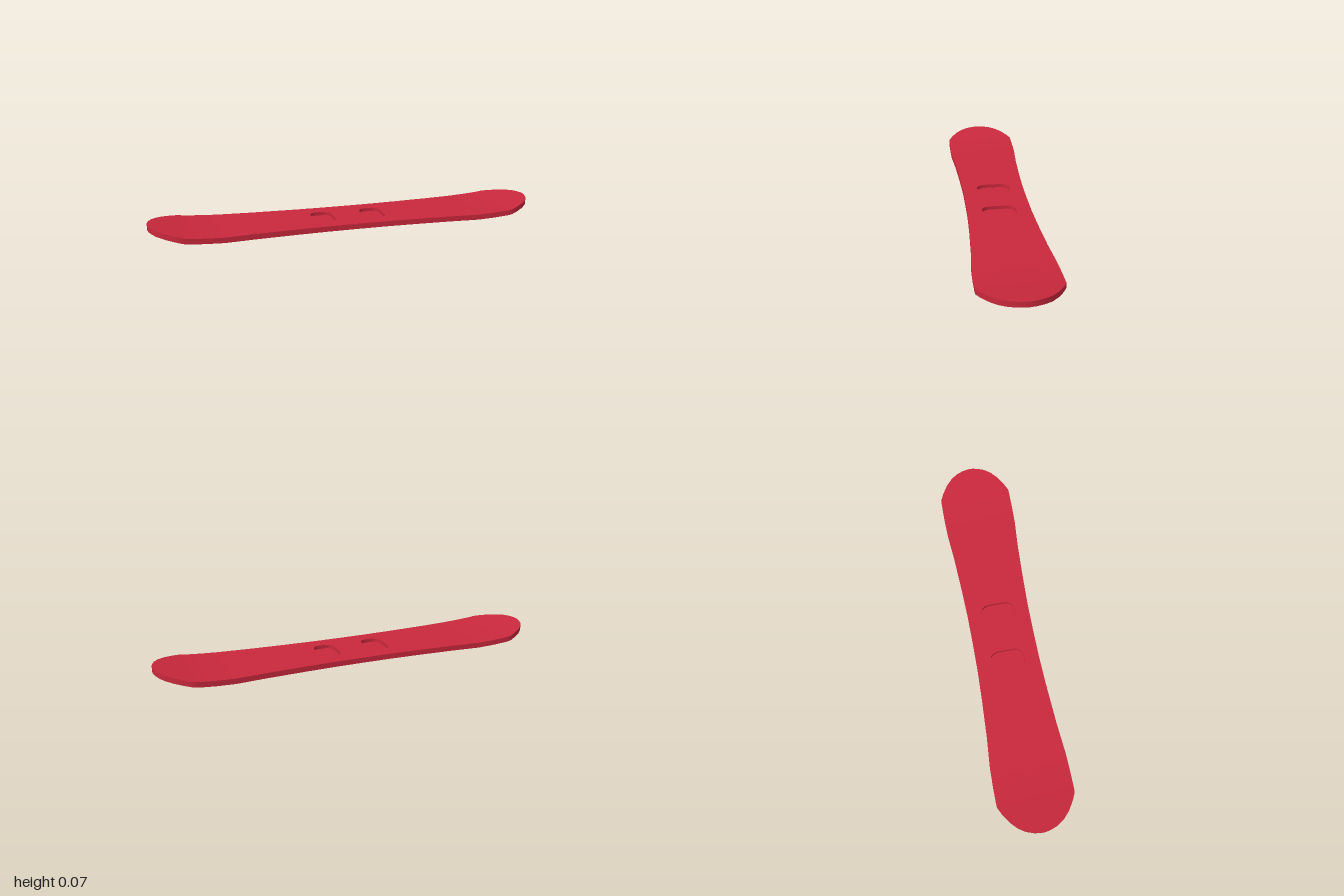
import * as THREE from 'three';
import { mergeGeometries, toCreasedNormals } from 'three/addons/utils/BufferGeometryUtils.js';

const THICK = 0.027, FLOOR = 0.009, PANEL = 0.3;

// half of the board: [distance from centre, half width, underside height]
const HALF = [
  [0, 0.16, 0], [0.15, 0.161, 0], [PANEL, 0.166, 0], [0.5, 0.176, 0], [0.65, 0.188, 0],
  [0.74, 0.19, 0.004], [0.82, 0.19, 0.01], [0.845, 0.189, 0.014], [0.88, 0.172, 0.02],
  [0.925, 0.143, 0.0275], [0.96, 0.11, 0.033], [0.982, 0.076, 0.037],
  [0.995, 0.04, 0.039], [1, 0.012, 0.04],
];
const STATIONS = [...HALF.slice(1).reverse().map(([x, w, y]) => [-x, w, y]), ...HALF];

// one quarter of a foot pocket outline, mirrored into a closed counter-clockwise loop
const QUARTER = [[0.055, 0.048], [0.047, 0.068], [0.036, 0.08], [0.02, 0.085]];
function pocketLoop(cx) {
  const flip = (sx, sy) => QUARTER.map(([x, y]) => [x * sx, y * sy]);
  return [...flip(1, 1), ...flip(-1, 1).reverse(), ...flip(-1, -1), ...flip(1, -1).reverse()]
    .map(([x, y]) => new THREE.Vector2(cx + x, y));
}

function quadsToGeometry(quads) {
  const pos = [];
  for (const [a, b, c, d] of quads) pos.push(...a, ...b, ...c, ...a, ...c, ...d);
  const g = new THREE.BufferGeometry();
  g.setAttribute('position', new THREE.Float32BufferAttribute(pos, 3));
  return g;
}

// horizontal face pointing up at height y
function flatFace(shape, y) {
  const g = new THREE.ShapeGeometry(shape).toNonIndexed();
  g.deleteAttribute('uv');
  g.deleteAttribute('normal');
  return g.rotateX(-Math.PI / 2).translate(0, y, 0);
}

export function createModel() {
  const group = new THREE.Group();
  group.name = 'snowboard';
  const material = new THREE.MeshStandardMaterial({ color: 0xc9283c });
  const addMesh = (name, parts) => {
    const mesh = new THREE.Mesh(toCreasedNormals(mergeGeometries(parts), 0.5), material);
    mesh.name = name;
    group.add(mesh);
  };

  // shell lofted along the length, leaving the middle of the deck open
  const rings = STATIONS.map(([x, w, y]) => [
    [x, y + THICK, -w], [x, y + THICK, w], [x, y, w], [x, y, -w],
  ]);
  const quads = [[...rings[0]].reverse(), rings[rings.length - 1]];
  for (let i = 0; i < rings.length - 1; i++) {
    const p = rings[i], q = rings[i + 1];
    const inPanel = Math.abs(p[0][0] + q[0][0]) / 2 < PANEL;
    for (let k = inPanel ? 1 : 0; k < 4; k++) {
      const n = (k + 1) % 4;
      quads.push([p[k], p[n], q[n], q[k]]);
    }
  }

  // middle of the deck, pierced by the two pockets
  const loops = [-0.132, 0.132].map(pocketLoop);
  const inner = STATIONS.filter(([x]) => Math.abs(x) <= PANEL);
  const panel = new THREE.Shape([
    ...inner.map(([x, w]) => new THREE.Vector2(x, -w)),
    ...[...inner].reverse().map(([x, w]) => new THREE.Vector2(x, w)),
  ]);
  panel.holes = loops.map((loop) => new THREE.Path([...loop].reverse()));
  addMesh('board', [quadsToGeometry(quads), flatFace(panel, THICK)]);

  // sunken foot pockets: inward walls and a floor
  loops.forEach((loop, i) => {
    const walls = loop.map((a, j) => {
      const b = loop[(j + 1) % loop.length];
      return [[a.x, FLOOR, -a.y], [a.x, THICK, -a.y], [b.x, THICK, -b.y], [b.x, FLOOR, -b.y]];
    });
    addMesh(i ? 'leftPocket' : 'rightPocket',
      [quadsToGeometry(walls), flatFace(new THREE.Shape(loop), FLOOR)]);
  });
  return group;
}
